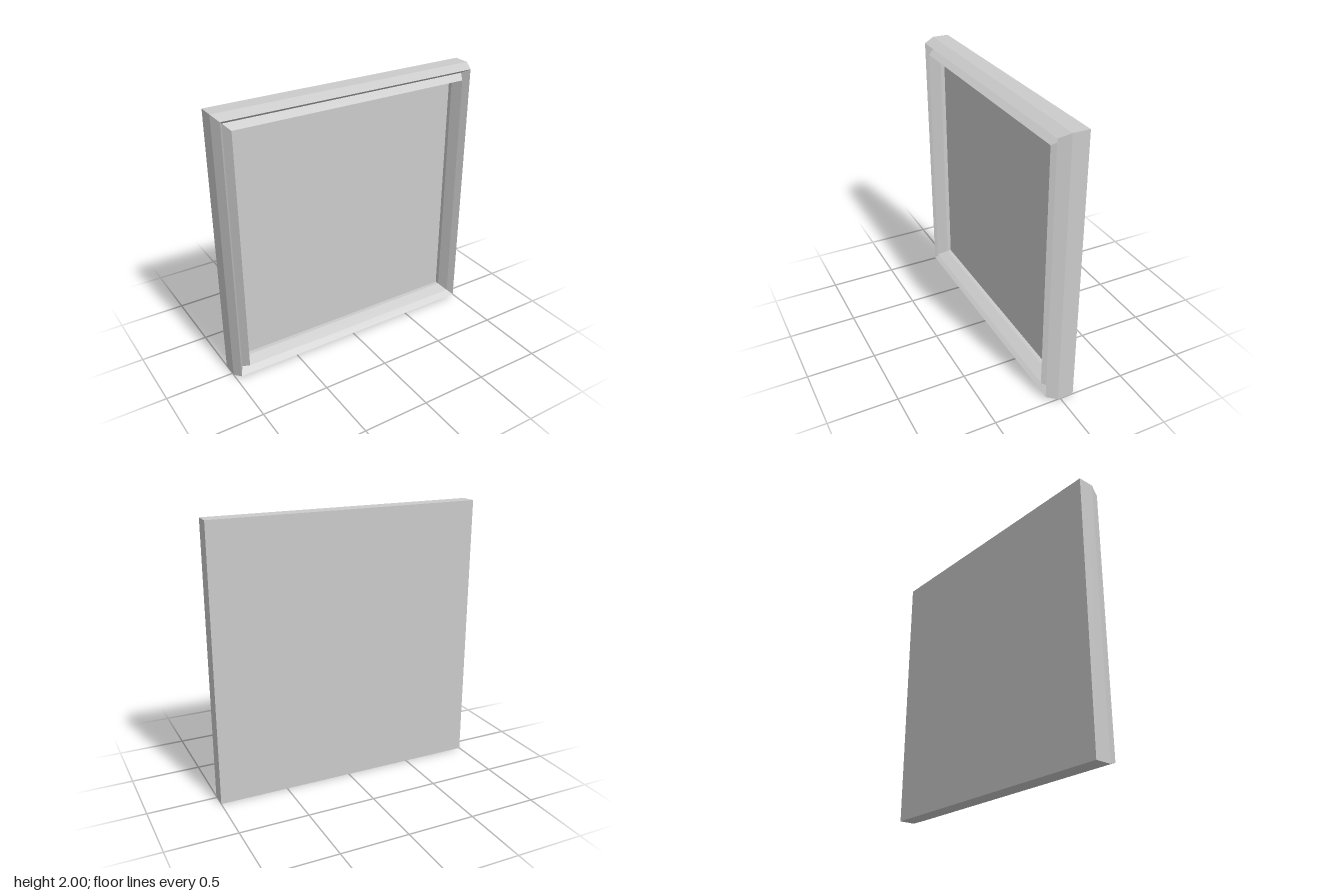
import * as THREE from 'three';

export function createModel() {
  const model = new THREE.Group();
  model.name = 'framedPanel';
  const material = new THREE.MeshStandardMaterial({ color: 0xcccccc, flatShading: true });

  const add = (name, geometry, z = 0) => {
    const mesh = new THREE.Mesh(geometry, material);
    mesh.name = name;
    mesh.position.set(0, 1, z);
    model.add(mesh);
  };

  // Moulding section: [half width of the square, depth z], from back to inner lip
  const section = [
    [1, -0.1], [1, 0.02],         // outer side
    [0.97, 0.1],                  // outer bevel
    [0.935, 0.04], [0.9, 0.1],    // V groove
    [0.87, 0.02], [0.87, -0.01],  // inner bevel and lip
  ];

  // Four-sided lathe gives the mitred square frame
  const points = section.map(([half, z]) => new THREE.Vector2(half * Math.SQRT2, z));
  const frame = new THREE.LatheGeometry(points, 4, Math.PI / 4)
    .rotateX(Math.PI / 2)
    .toNonIndexed();
  frame.computeVertexNormals();
  add('frame', frame);

  // Recessed front panel and flat back
  add('panel', new THREE.PlaneGeometry(1.74, 1.74), -0.01);
  add('back', new THREE.PlaneGeometry(2, 2).rotateY(Math.PI), -0.1);

  return model;
}
